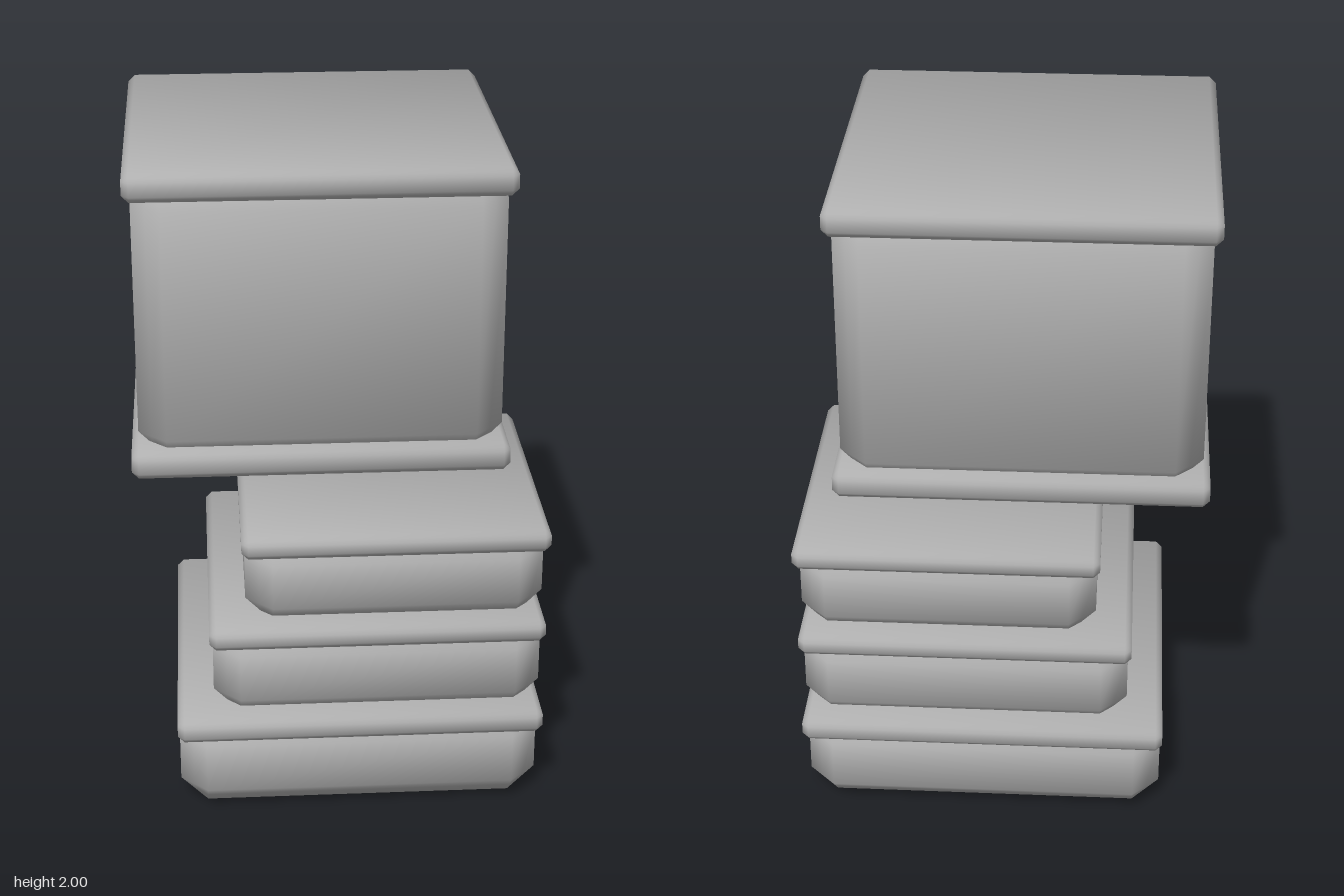
import * as THREE from 'three';

// Chamfered box with soft shading: a 3x3x3 grid box whose outer rings form the bevel.
function chamferedBox(w, h, d, c) {
  const geometry = new THREE.BoxGeometry(1, 1, 1, 3, 3, 3);
  const pos = geometry.attributes.position;
  const nor = geometry.attributes.normal;
  const half = [w / 2, h / 2, d / 2];
  for (let i = 0; i < pos.count; i++) {
    const p = [pos.getX(i), pos.getY(i), pos.getZ(i)];
    const outer = p.map((v) => Math.abs(v) > 0.4);
    const k = outer.filter(Boolean).length; // 1 = face, 2 = edge, 3 = corner
    const inset = (c * (k - 1)) / k;
    const lean = k === 1 ? 0.43 : 0.6;
    const q = p.map((v, a) => Math.sign(v) * (half[a] - (outer[a] ? inset : c)));
    const n = new THREE.Vector3(...p.map((v, a) => Math.sign(v) * (outer[a] ? 1 : lean))).normalize();
    pos.setXYZ(i, ...q);
    nor.setXYZ(i, n.x, n.y, n.z);
  }
  return geometry;
}

export function createModel() {
  const model = new THREE.Group();
  const stone = new THREE.MeshStandardMaterial({ color: 0xb0b0b0 });
  stone.name = 'grey stone';

  // name, x range, y range, half depth, chamfer
  const parts = [
    // Stepped base: three blocks, each with a cap slab
    ['lowerBlock', -0.5, 0.575, 0, 0.31, 0.535, 0.08],
    ['lowerSlab', -0.505, 0.585, 0.245, 0.32, 0.545, 0.02],
    ['middleBlock', -0.395, 0.585, 0.28, 0.585, 0.49, 0.08],
    ['middleSlab', -0.405, 0.592, 0.525, 0.595, 0.495, 0.02],
    ['upperBlock', -0.295, 0.592, 0.56, 0.86, 0.445, 0.08],
    ['upperSlab', -0.305, 0.605, 0.8, 0.87, 0.452, 0.02],
    // Floating head between two slabs
    ['headBottomSlab', -0.61, 0.462, 1.108, 1.19, 0.535, 0.02],
    ['headBlock', -0.59, 0.445, 1.14, 1.97, 0.518, 0.08],
    ['headTopSlab', -0.61, 0.462, 1.92, 2, 0.535, 0.02],
  ];
  for (const [name, x0, x1, y0, y1, z, c] of parts) {
    const mesh = new THREE.Mesh(chamferedBox(x1 - x0, y1 - y0, z * 2, c), stone);
    mesh.name = name;
    mesh.position.set((x0 + x1) / 2, (y0 + y1) / 2, 0);
    model.add(mesh);
  }
  return model;
}
